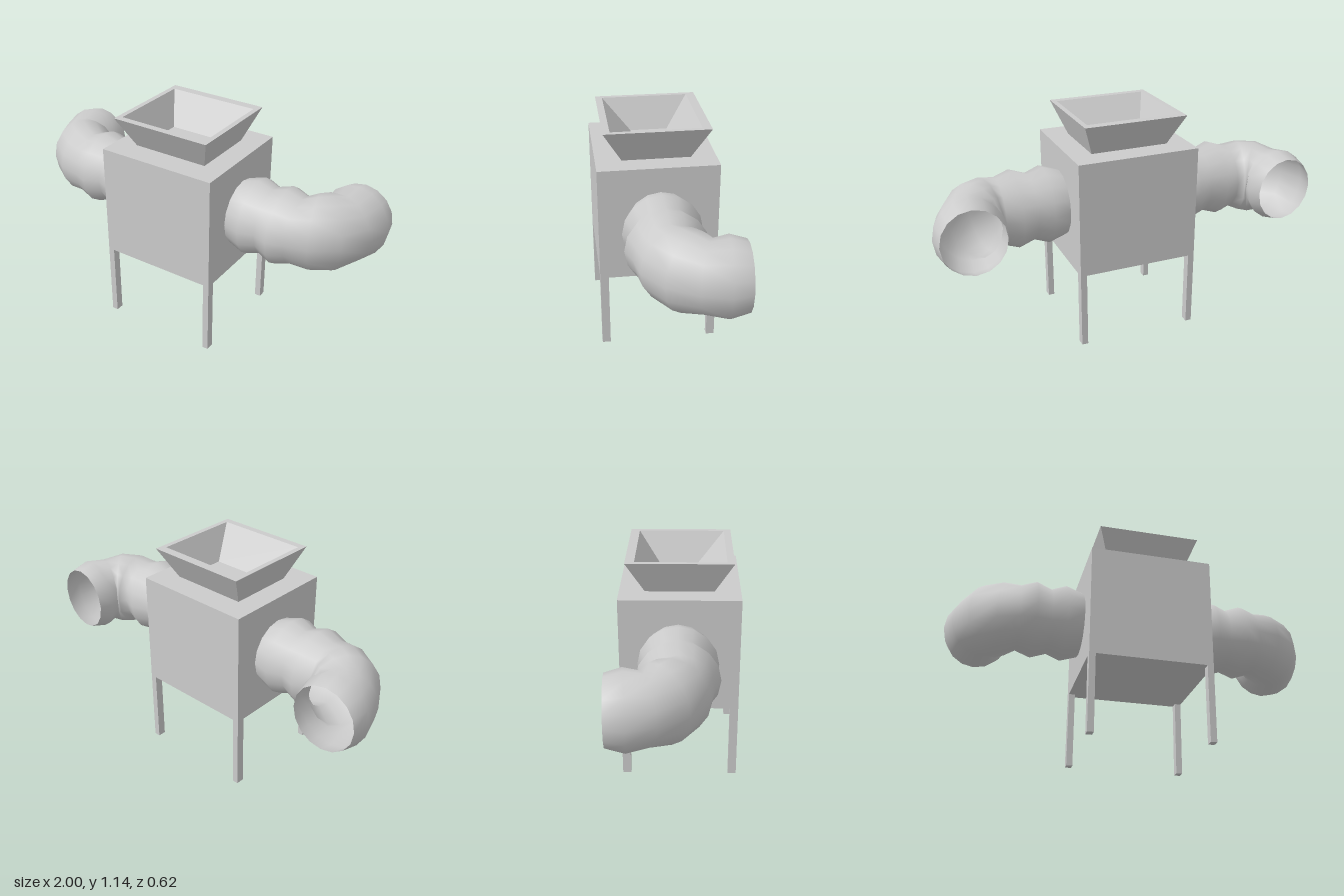
import * as THREE from 'three';

const material = new THREE.MeshStandardMaterial({ color: 0xcccccc });
const openMaterial = new THREE.MeshStandardMaterial({ color: 0xcccccc, side: THREE.DoubleSide });

function addMesh(parent, name, geometry, mat = material) {
  const mesh = new THREE.Mesh(geometry, mat);
  mesh.name = name;
  parent.add(mesh);
  return mesh;
}

// Box given by its minimum and maximum corners
function boxBetween(x0, y0, z0, x1, y1, z1) {
  return new THREE.BoxGeometry(x1 - x0, y1 - y0, z1 - z0)
    .translate((x0 + x1) / 2, (y0 + y1) / 2, (z0 + z1) / 2);
}

// Flat-sided skin through rectangles [halfX, zBack, zFront, y], closed at the last one
function rectLoft(sections) {
  const loops = sections.map(([hx, zb, zf, y]) => [[-hx, y, zf], [hx, y, zf], [hx, y, zb], [-hx, y, zb]]);
  const pos = [];
  const quad = (a, b, c, d) => [a, b, c, a, c, d].forEach((p) => pos.push(...p));
  for (let i = 0; i < loops.length - 1; i++) {
    for (let j = 0; j < 4; j++) {
      const k = (j + 1) % 4;
      quad(loops[i][j], loops[i][k], loops[i + 1][k], loops[i + 1][j]);
    }
  }
  quad(...loops[loops.length - 1]);
  const geometry = new THREE.BufferGeometry();
  geometry.setAttribute('position', new THREE.Float32BufferAttribute(pos, 3));
  geometry.computeVertexNormals();
  return geometry;
}

// Rings of the corrugated elbow: outer x, outer z, inner x, inner z, vertical radius
const PIPE_RINGS = [
  [0.30, 0.17, 0.30, -0.155, 0.165],
  [0.40, 0.205, 0.40, -0.185, 0.197],
  [0.475, 0.175, 0.475, -0.155, 0.17],
  [0.555, 0.21, 0.555, -0.185, 0.197],
  [0.635, 0.18, 0.635, -0.155, 0.17],
  [0.75, 0.16, 0.655, -0.19, 0.19],
  [0.88, 0.07, 0.66, -0.195, 0.195],
  [0.96, -0.07, 0.665, -0.19, 0.172],
  [1.0, -0.2, 0.65, -0.235, 0.19],
  [0.985, -0.293, 0.67, -0.308, 0.165],
];

function pipeGeometry(side) {
  const sides = 16, centerY = 0.687;
  const pos = [], index = [];
  for (const [ox, oz, ix, iz, r] of PIPE_RINGS) {
    for (let j = 0; j < sides; j++) {
      const a = (j / sides) * Math.PI * 2;
      const t = (1 + Math.cos(a)) / 2;
      pos.push(side * (ix + (ox - ix) * t), centerY + r * Math.sin(a), iz + (oz - iz) * t);
    }
  }
  for (let i = 0; i < PIPE_RINGS.length - 1; i++) {
    for (let j = 0; j < sides; j++) {
      const a = i * sides + j, b = i * sides + ((j + 1) % sides);
      const c = a + sides, d = b + sides;
      if (side > 0) index.push(a, c, b, b, c, d);
      else index.push(a, b, c, b, d, c);
    }
  }
  const geometry = new THREE.BufferGeometry();
  geometry.setAttribute('position', new THREE.Float32BufferAttribute(pos, 3));
  geometry.setIndex(index);
  geometry.computeVertexNormals();
  return geometry;
}

export function createModel() {
  const model = new THREE.Group();
  model.name = 'hopperMachine';

  // Main housing
  addMesh(model, 'housing', boxBetween(-0.313, 0.395, -0.28, 0.313, 0.98, 0.31));

  // Four corner legs
  const legs = new THREE.Group();
  legs.name = 'legs';
  model.add(legs);
  for (const [side, sideName] of [[1, 'left'], [-1, 'right']]) {
    const x0 = side > 0 ? 0.281 : -0.313;
    addMesh(legs, sideName + 'FrontLeg', boxBetween(x0, 0, 0.268, x0 + 0.032, 0.395, 0.31));
    addMesh(legs, sideName + 'BackLeg', boxBetween(x0, 0, -0.28, x0 + 0.032, 0.395, -0.238));
  }

  // Flared hopper: outer wall, rim, inner wall, floor
  addMesh(model, 'hopper', rectLoft([
    [0.2, -0.155, 0.182, 0.98],
    [0.264, -0.245, 0.273, 1.143],
    [0.238, -0.2, 0.238, 1.143],
    [0.167, -0.09, 0.1, 0.985],
  ]));

  // Corrugated elbow pipes, open at the back
  addMesh(model, 'leftPipe', pipeGeometry(1), openMaterial);
  addMesh(model, 'rightPipe', pipeGeometry(-1), openMaterial);

  return model;
}
